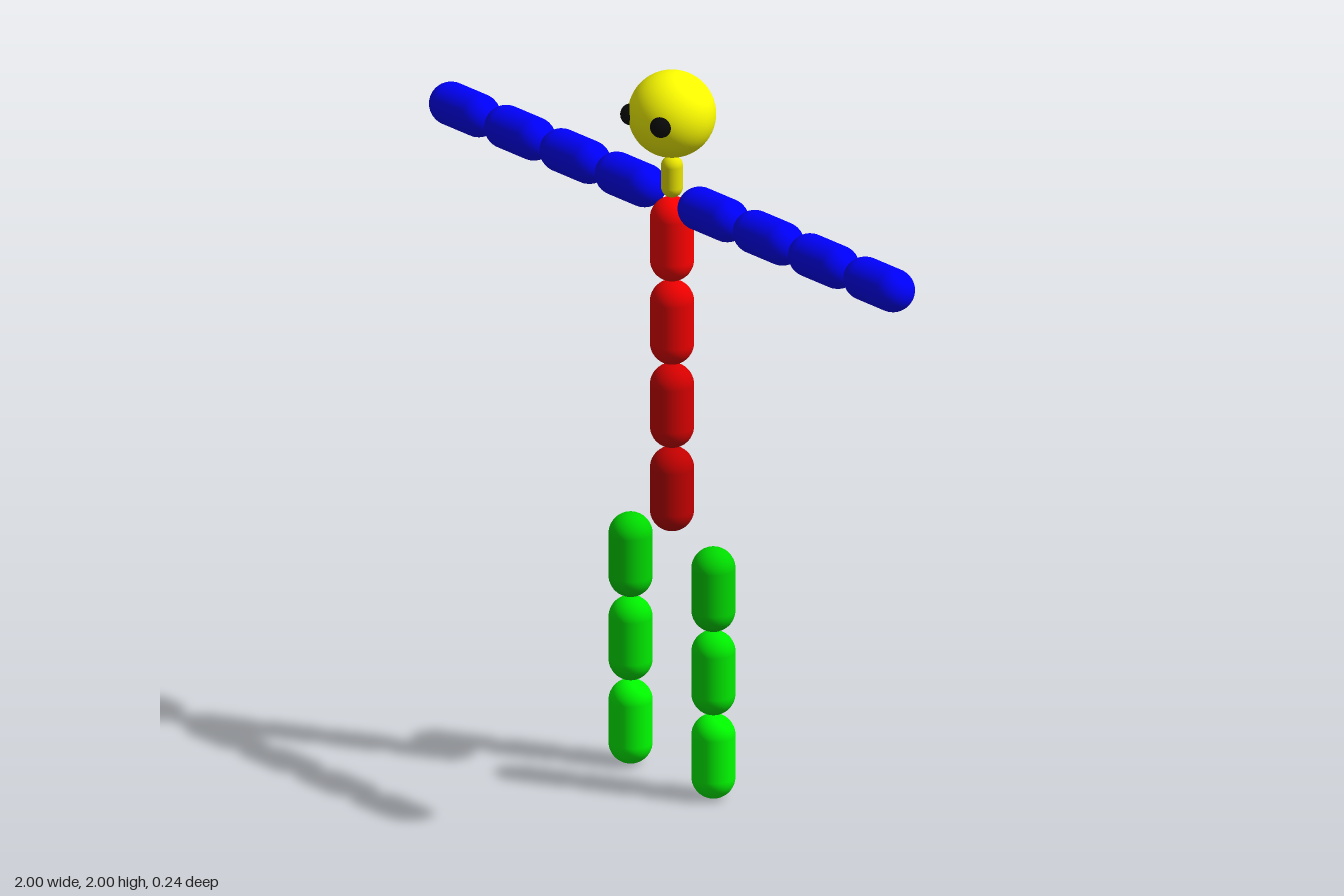
import * as THREE from 'three';

const R = 1 / 17; // limb radius, the unit every other size is a multiple of

function material(r, g, b) {
  return new THREE.MeshStandardMaterial({ color: new THREE.Color().setRGB(r, g, b, THREE.SRGBColorSpace) });
}

function addMesh(parent, name, geometry, mat, x, y, z = 0) {
  const mesh = new THREE.Mesh(geometry, mat);
  mesh.name = name;
  mesh.position.set(x * R, y * R, z * R);
  parent.add(mesh);
  return mesh;
}

export function createModel() {
  const model = new THREE.Group();
  model.name = 'segmentedFigure';

  const segment = new THREE.CapsuleGeometry(R, 2 * R, 12, 32);
  const yellow = material(1, 1, 0);
  const blue = material(0, 0, 1);
  const black = material(0.03, 0.03, 0.03);

  // Torso: four stacked capsules, darker towards the hips
  const torso = new THREE.Group();
  torso.name = 'torso';
  for (let i = 0; i < 4; i++) {
    addMesh(torso, 'torsoSegment', segment, material(0.76 + 0.08 * i, 0, 0), 0, 14 + 4 * i);
  }
  model.add(torso);

  // Neck and head
  addMesh(model, 'neck', new THREE.CapsuleGeometry(0.5 * R, R, 10, 24), material(0.92, 0.9, 0), 0, 29);
  addMesh(model, 'head', new THREE.SphereGeometry(2 * R, 48, 32), yellow, 0, 32);

  const eye = new THREE.SphereGeometry(0.5 * R, 24, 16);
  for (const [side, s] of [['left', 1], ['right', -1]]) {
    addMesh(model, side + 'Eye', eye, black, 1.08 * s, 32, 1.5);

    // Arm: four capsules held straight out
    const arm = new THREE.Group();
    arm.name = side + 'Arm';
    for (let i = 0; i < 4; i++) {
      addMesh(arm, 'armSegment', segment, blue, s * (3 + 4 * i), 28).rotation.z = Math.PI / 2;
    }
    model.add(arm);

    // Leg: three capsules, brighter towards the foot
    const leg = new THREE.Group();
    leg.name = side + 'Leg';
    for (let i = 0; i < 3; i++) {
      addMesh(leg, 'legSegment', segment, material(0, 1 - 0.07 * i, 0), 3 * s, 2 + 4 * i);
    }
    model.add(leg);
  }
  return model;
}
